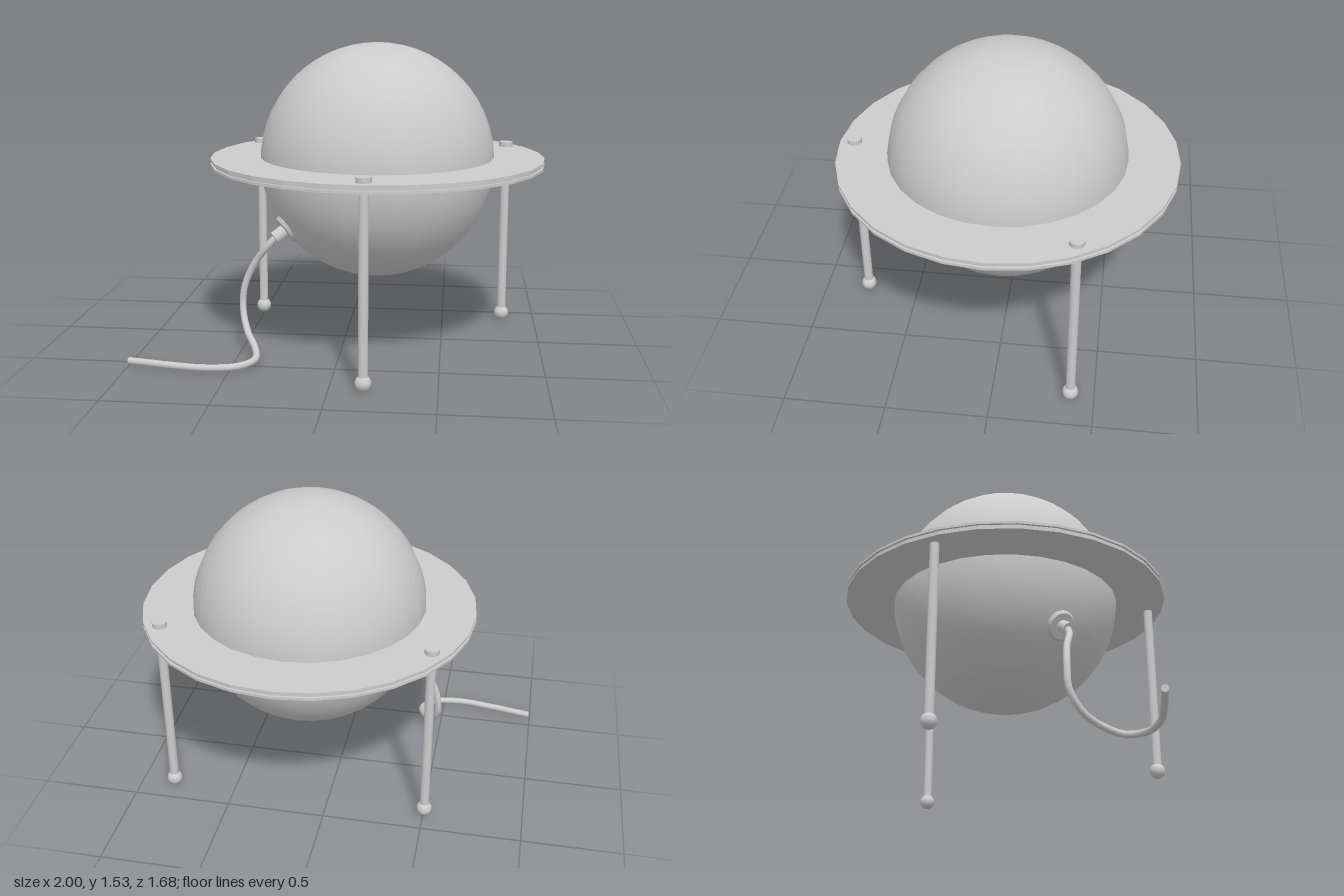
import * as THREE from 'three';

const CX = 0.16, CY = 0.945, R = 0.59;

export function createModel() {
  const model = new THREE.Group();
  const smooth = new THREE.MeshStandardMaterial({ color: 0xcccccc });
  const flat = new THREE.MeshStandardMaterial({ color: 0xcccccc, flatShading: true });

  const add = (name, geometry, material, parent, x = 0, y = 0, z = 0) => {
    const mesh = new THREE.Mesh(geometry, material);
    mesh.name = name;
    mesh.position.set(x, y, z);
    parent.add(mesh);
    return mesh;
  };

  // Round body
  add('globe', new THREE.SphereGeometry(R, 28, 28), smooth, model, CX, CY, 0);

  // Flat ring with a shallow groove around its rim
  const ringProfile = [
    [0.575, 0.926], [0.84, 0.926], [0.84, 0.939], [0.829, 0.939],
    [0.829, 0.953], [0.84, 0.953], [0.84, 0.966], [0.575, 0.966], [0.575, 0.926],
  ].map(([r, y]) => new THREE.Vector2(r, y));
  add('ring', new THREE.LatheGeometry(ringProfile, 28), flat, model, CX, 0, 0);

  // Three legs, each with a ball foot and a cap above the ring
  for (let i = 0; i < 3; i++) {
    const a = (i * Math.PI * 2) / 3;
    const leg = new THREE.Group();
    leg.name = 'leg' + (i + 1);
    leg.position.set(CX + 0.767 * Math.sin(a), 0, 0.767 * Math.cos(a));
    model.add(leg);
    add('legRod', new THREE.CylinderGeometry(0.023, 0.023, 0.91, 16), smooth, leg, 0, 0.495, 0);
    add('foot', new THREE.SphereGeometry(0.039, 16, 12), smooth, leg, 0, 0.039, 0);
    add('legCap', new THREE.CylinderGeometry(0.036, 0.036, 0.027, 20), smooth, leg, 0, 0.977, 0);
  }

  // Cable fitting standing square to the globe surface
  const out = new THREE.Vector3(-0.73, -0.54, 0.41).normalize();
  const fitting = new THREE.Group();
  fitting.name = 'cableFitting';
  fitting.position.set(CX, CY, 0).addScaledVector(out, R);
  fitting.quaternion.setFromUnitVectors(new THREE.Vector3(0, 1, 0), out);
  model.add(fitting);
  add('fittingFlange', new THREE.CylinderGeometry(0.066, 0.078, 0.018, 20), smooth, fitting, 0, 0.002, 0);
  add('fittingSleeve', new THREE.CylinderGeometry(0.032, 0.032, 0.07, 16), smooth, fitting, 0, 0.038, 0);

  // Cable dropping to the ground and trailing away
  const path = new THREE.CatmullRomCurve3([
    [-0.31, 0.6, 0.262], [-0.35, 0.555, 0.27], [-0.43, 0.45, 0.245], [-0.485, 0.33, 0.236],
    [-0.495, 0.21, 0.242], [-0.46, 0.11, 0.31], [-0.405, 0.065, 0.41],
    [-0.385, 0.04, 0.51], [-0.45, 0.033, 0.595], [-0.6, 0.03, 0.625],
    [-0.77, 0.029, 0.605], [-0.995, 0.029, 0.562],
  ].map((p) => new THREE.Vector3(...p)));
  add('cable', new THREE.TubeGeometry(path, 40, 0.017, 12), smooth, model);
  const end = add('cableEnd', new THREE.CircleGeometry(0.017, 12), smooth, model, -0.995, 0.029, 0.562);
  end.lookAt(end.position.clone().add(path.getTangent(1)));

  return model;
}
